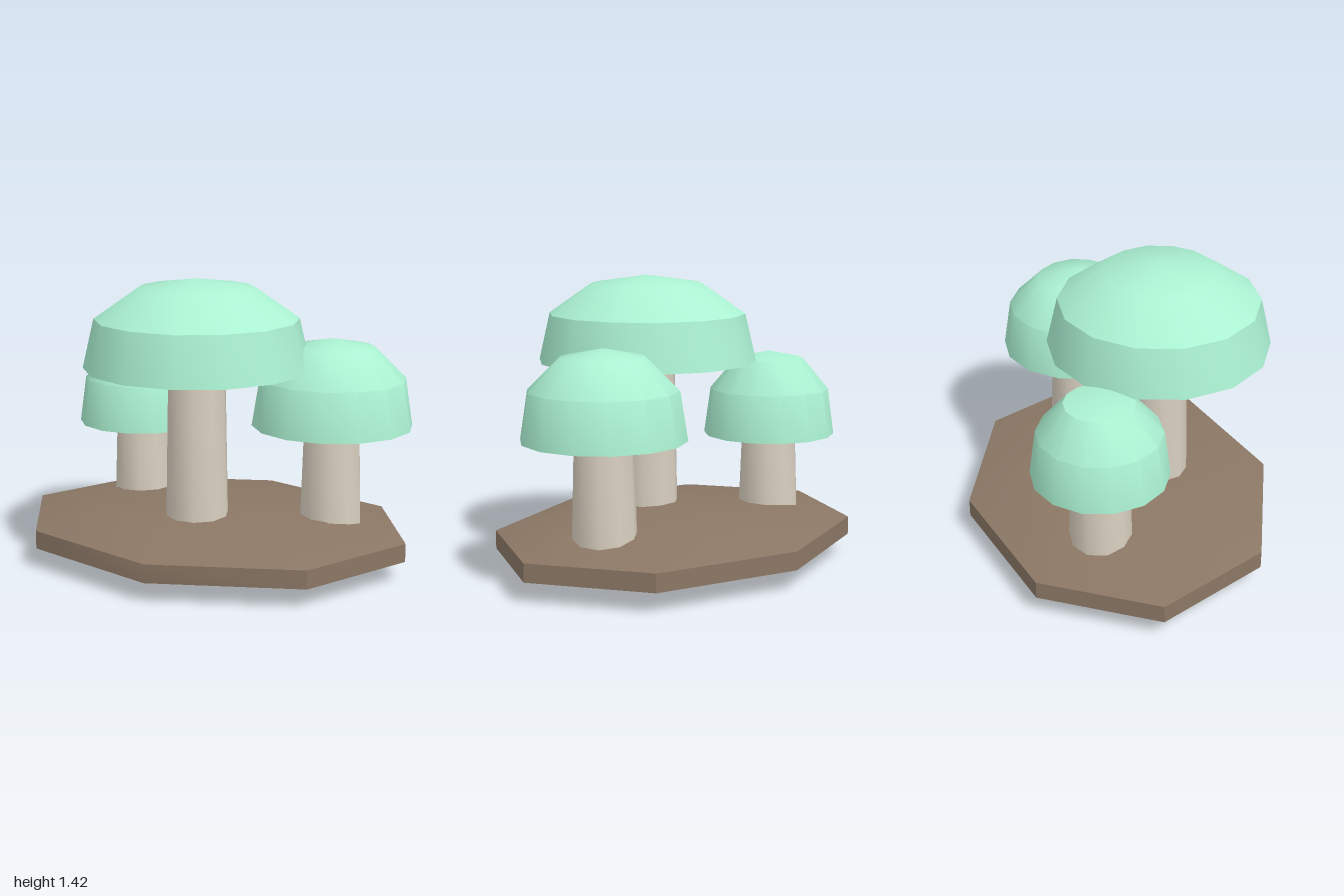
import * as THREE from 'three';
import { toCreasedNormals } from 'three/addons/utils/BufferGeometryUtils.js';

const mat = (color) => new THREE.MeshStandardMaterial({ color });

// Turned solid from a bottom-to-top profile, with a corner on the x axis
function turned(name, profile, sides, material, depth = 1) {
  const points = profile.map(([r, y]) => new THREE.Vector2(r, y));
  const geometry = new THREE.LatheGeometry(points, sides, Math.PI / 2);
  geometry.scale(1, 1, depth);
  const mesh = new THREE.Mesh(toCreasedNormals(geometry, 0.65), material);
  mesh.name = name;
  return mesh;
}

export function createModel() {
  const model = new THREE.Group();
  model.name = 'mushroomCluster';
  const earth = mat(0x8b7765);
  const stemMat = mat(0xd8cfbf);
  const capMat = mat(0xaaf0d1);

  // Eight-sided slab, domed slightly above and below
  model.add(turned('base', [
    [0, 0.005], [0.63, 0.035], [1, 0.105], [1, 0.195], [0.63, 0.268], [0, 0.29],
  ], 8, earth, 0.775));

  // Each cap profile runs from the rim to the crown
  const mushrooms = [
    { name: 'middleMushroom', x: 0, z: 0.195, cap: [[0.545, 1.005], [0.49, 1.24], [0.275, 1.39], [0, 1.43]] },
    { name: 'leftMushroom', x: 0.585, z: -0.097, cap: [[0.39, 0.715], [0.353, 0.947], [0.2, 1.1], [0, 1.14]] },
    { name: 'rightMushroom', x: -0.488, z: -0.195, cap: [[0.33, 0.62], [0.298, 0.85], [0.168, 1.005], [0, 1.04]] },
  ];
  for (const { name, x, z, cap } of mushrooms) {
    const mushroom = new THREE.Group();
    mushroom.name = name;
    mushroom.position.set(x, 0, z);
    const underside = cap[0][1];
    mushroom.add(
      turned('stem', [[0, 0.2], [0.155, 0.2], [0.139, underside + 0.02], [0, underside + 0.02]], 10, stemMat),
      turned('cap', [[0, underside], ...cap], 14, capMat),
    );
    model.add(mushroom);
  }
  return model;
}
